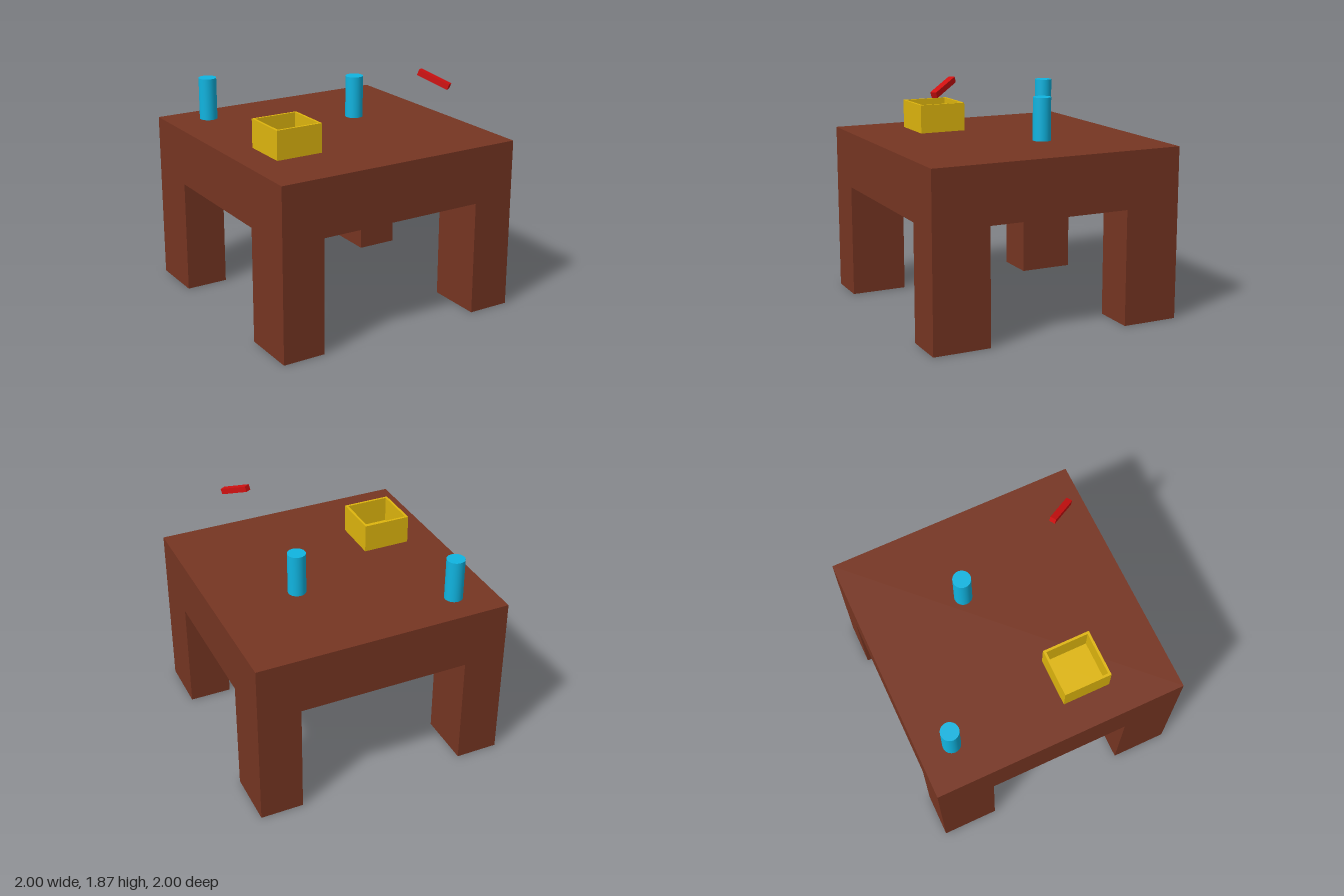
import * as THREE from 'three';

const brown = new THREE.MeshStandardMaterial({ color: 0x763522 });
const yellow = new THREE.MeshStandardMaterial({ color: 0xdeb50e });
const blue = new THREE.MeshStandardMaterial({ color: 0x10b4e0 });
const red = new THREE.MeshStandardMaterial({ color: 0xd01010 });

const TOP = 1.335; // height of the table surface
const UNDER = 0.893; // height of its underside

function add(parent, name, geometry, material, x, y, z) {
  const mesh = new THREE.Mesh(geometry, material);
  mesh.name = name;
  mesh.position.set(x, y, z);
  parent.add(mesh);
  return mesh;
}

// Thick slab on four block legs, flush with its corners
function createTable() {
  const table = new THREE.Group();
  table.name = 'table';
  add(table, 'tableTop', new THREE.BoxGeometry(2, TOP - UNDER, 2), brown, 0, (TOP + UNDER) / 2, 0);
  const w = 0.335, d = 0.443;
  const leg = new THREE.BoxGeometry(w, UNDER, d);
  for (const sx of [-1, 1]) {
    for (const sz of [-1, 1]) {
      const name = (sz > 0 ? 'front' : 'back') + (sx > 0 ? 'Left' : 'Right') + 'Leg';
      add(table, name, leg, brown, sx * (1 - w / 2), UNDER / 2, sz * (1 - d / 2));
    }
  }
  return table;
}

// Open-topped box: a floor and four thin walls
function createOpenBox() {
  const box = new THREE.Group();
  box.name = 'openBox';
  const s = 0.374, h = 0.224, t = 0.019;
  add(box, 'boxFloor', new THREE.BoxGeometry(s - 2 * t, t, s - 2 * t), yellow, 0, t / 2, 0);
  for (const k of [-1, 1]) {
    const offset = k * (s - t) / 2;
    add(box, 'boxSideWall', new THREE.BoxGeometry(t, h, s), yellow, offset, h / 2, 0);
    add(box, 'boxEndWall', new THREE.BoxGeometry(s - 2 * t, h, t), yellow, 0, h / 2, offset);
  }
  box.position.set(-0.567, TOP, 0.317);
  return box;
}

export function createModel() {
  const model = new THREE.Group();
  model.name = 'tableWithObjects';
  model.add(createTable(), createOpenBox());

  // Two upright cylinders
  const can = new THREE.CylinderGeometry(0.07, 0.07, 0.332, 32);
  add(model, 'backCylinder', can, blue, -0.68, 1.507, -0.745);
  add(model, 'middleCylinder', can, blue, 0.343, 1.507, -0.19);

  // Small bar floating above the table, tilted down towards the front
  const bar = add(model, 'floatingBar', new THREE.BoxGeometry(0.049, 0.044, 0.254), red, 0.481, 1.81, 0.682);
  bar.lookAt(bar.position.clone().add(new THREE.Vector3(0.131, -0.09, 0.203)));

  return model;
}
